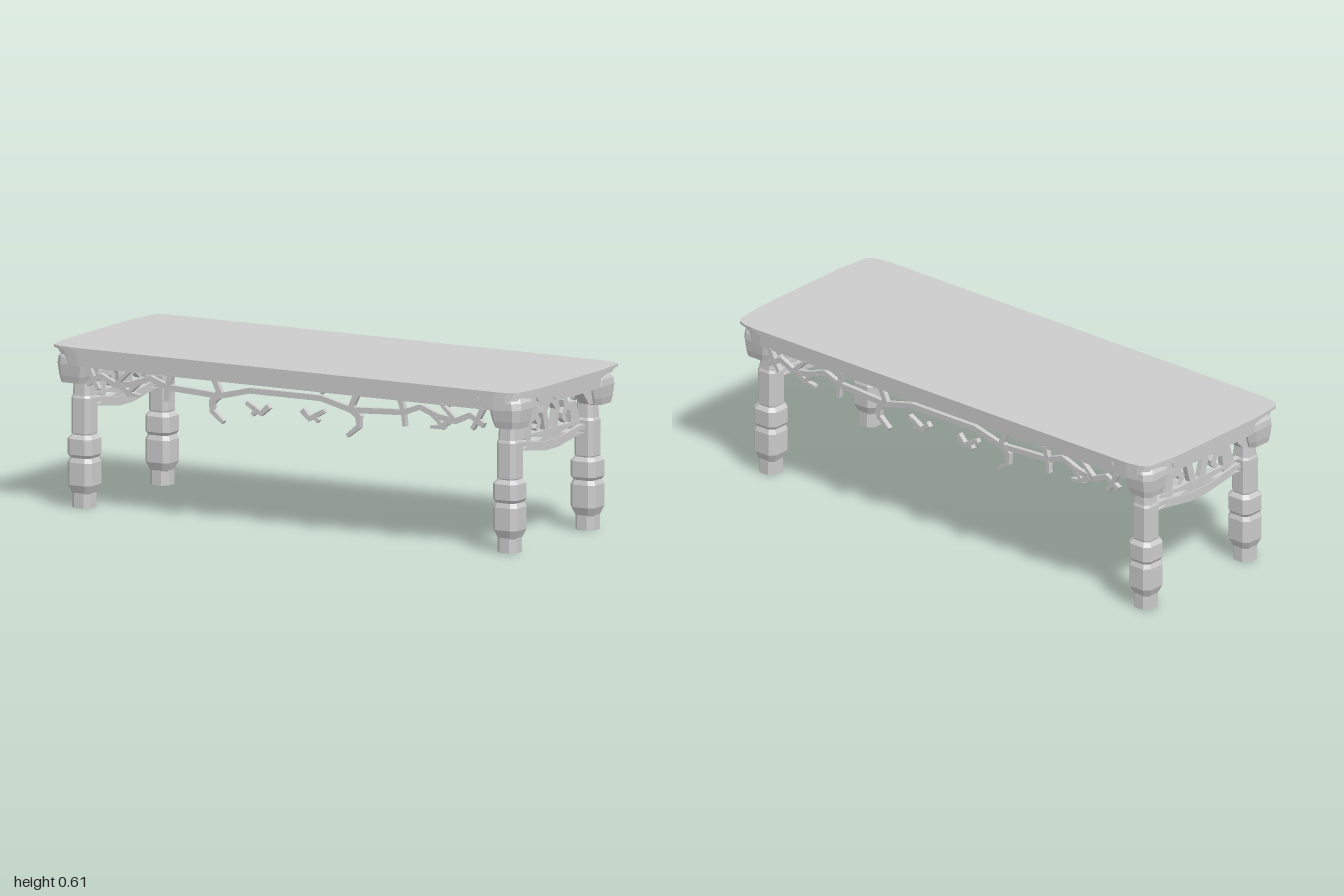
import * as THREE from 'three';

const mat = new THREE.MeshStandardMaterial({ color: 0xcccccc, flatShading: true });

function add(group, name, geometry) {
  const mesh = new THREE.Mesh(geometry, mat);
  mesh.name = name;
  group.add(mesh);
  return mesh;
}

const toShape = (pts) => new THREE.Shape(pts.map((p) => new THREE.Vector2(p[0], p[1])));
const mirrorX = (pts) => pts.map(([x, y]) => [-x, y]);

// Rounded outline of the table, moved inward by d
function outline(d) {
  const q = [[1, 0.22], [0.985, 0.35], [0.97, 0.365], [0.945, 0.375], [0.9, 0.382]]
    .map(([x, z]) => [x - d, z - d]);
  const half = [...q, ...mirrorX(q).reverse()];
  return [...half, ...half.map(([x, z]) => [-x, -z])];
}

// Horizontal slab between two heights, optionally open in the middle
function slab(shape, y0, y1) {
  const g = new THREE.ExtrudeGeometry(shape, { depth: y1 - y0, bevelEnabled: false });
  return g.rotateX(-Math.PI / 2).translate(0, y0, 0);
}

// Vertical plate centred on z = 0
function plate(shape, depth) {
  return new THREE.ExtrudeGeometry(shape, { depth, bevelEnabled: false }).translate(0, 0, -depth / 2);
}

// Loft of chamfered squares; each ring is [y, half width, chamfer, shift]
function loft(rings) {
  const pos = [], idx = [];
  for (const [y, h, c, s = 0] of rings) {
    const k = h - c;
    for (const [x, z] of [[h, k], [k, h], [-k, h], [-h, k], [-h, -k], [-k, -h], [k, -h], [h, -k]])
      pos.push(x + s, y, z + s);
  }
  const last = (rings.length - 1) * 8;
  for (let r = 0; r < last; r += 8)
    for (let i = 0; i < 8; i++) {
      const a = r + i, b = r + (i + 1) % 8;
      idx.push(a, a + 8, b, b, a + 8, b + 8);
    }
  for (let i = 1; i < 7; i++) idx.push(0, i, i + 1, last, last + i + 1, last + i);
  const g = new THREE.BufferGeometry();
  g.setAttribute('position', new THREE.Float32BufferAttribute(pos, 3));
  g.setIndex(idx);
  const flat = g.toNonIndexed();
  flat.computeVertexNormals();
  return flat;
}

// Flat twig following a path, its width running from w0 to w1
function twig(path, w0, w1, depth) {
  const left = [], right = [];
  path.forEach(([x, y], i) => {
    const a = path[Math.max(i - 1, 0)], b = path[Math.min(i + 1, path.length - 1)];
    const dx = b[0] - a[0], dy = b[1] - a[1], l = Math.hypot(dx, dy);
    const w = (w0 + (w1 - w0) * i / (path.length - 1)) / 2;
    left.push([x - dy / l * w, y + dx / l * w]);
    right.unshift([x + dy / l * w, y - dx / l * w]);
  });
  return plate(toShape([...left, ...right]), depth);
}

// Leg with stacked faceted sleeves and a heavy corner block
function leg() {
  const g = new THREE.Group();
  add(g, 'legFoot', loft([[0, 0.04, 0.02], [0.055, 0.04, 0.02]]));
  add(g, 'legLowerSleeve', loft([[0.05, 0.037, 0.016], [0.085, 0.052, 0.02], [0.168, 0.052, 0.02],
    [0.19, 0.043, 0.017]]));
  add(g, 'legUpperSleeve', loft([[0.182, 0.043, 0.017], [0.197, 0.052, 0.02], [0.255, 0.052, 0.02],
    [0.27, 0.04, 0.016]]));
  add(g, 'legShaft', loft([[0.262, 0.036, 0.015], [0.275, 0.04, 0.015], [0.405, 0.04, 0.015],
    [0.415, 0.036, 0.014], [0.48, 0.033, 0.014]]));
  add(g, 'legCapital', loft([[0.465, 0.05, 0.018, 0.018], [0.49, 0.058, 0.02, 0.016],
    [0.535, 0.067, 0.024, 0.013], [0.56, 0.066, 0.026, 0.012], [0.581, 0.058, 0.025, 0.008]]));
  return g;
}

// Fretwork between the two legs of one end
function endFretwork() {
  const g = new THREE.Group();
  const lower = [[0.24, 0.362], [0.2, 0.362], [0.05, 0.339]];
  const upper = [[0.06, 0.39], [0.135, 0.402], [0.2, 0.415], [0.24, 0.415]];
  add(g, 'endStretcher', plate(toShape([...mirrorX(lower), ...lower.reverse(), ...upper,
    ...mirrorX(upper).reverse()]), 0.026));
  const bead = [[-0.23, 0.386], [-0.19, 0.386], [-0.05, 0.365], [0.05, 0.365], [0.19, 0.386], [0.23, 0.386]];
  add(g, 'stretcherBand', twig(bead, 0.018, 0.018, 0.034));

  // Pointed loop in the middle
  const side = [[0.036, 0.385], [0.061, 0.48], [0.042, 0.535]];
  const loop = toShape([...side, ...mirrorX(side).reverse()]);
  loop.holes.push(new THREE.Path([[0, 0.512], [-0.03, 0.482], [-0.005, 0.395], [0.005, 0.395],
    [0.03, 0.482]].map((p) => new THREE.Vector2(...p))));
  add(g, 'centreLoop', plate(loop, 0.022));

  // Hooked scrolls either side
  const hook = [[0.205, 0.405], [0.175, 0.49], [0.13, 0.488], [0.105, 0.514], [0.086, 0.504],
    [0.092, 0.477], [0.073, 0.458], [0.075, 0.438], [0.098, 0.42], [0.114, 0.43], [0.1, 0.445],
    [0.112, 0.463], [0.136, 0.456], [0.143, 0.39]];
  add(g, 'scrollHook', plate(toShape(hook), 0.022));
  add(g, 'scrollHook', plate(toShape(mirrorX(hook)), 0.022));
  return g;
}

// Branching vine below one long side
function vine() {
  const g = new THREE.Group();
  const half = [[0.15, 0.51], [0.28, 0.478], [0.4, 0.485], [0.5, 0.49], [0.57, 0.516],
    [0.65, 0.487], [0.72, 0.478], [0.78, 0.506], [0.84, 0.472]];
  add(g, 'vineStem', twig([...mirrorX(half).reverse(), ...half], 0.021, 0.021, 0.018));
  const branches = [
    [[[0.28, 0.485], [0.31, 0.455], [0.31, 0.42], [0.262, 0.382]], 0.03, 0.014],
    [[[0.27, 0.47], [0.285, 0.505], [0.302, 0.54]], 0.02, 0.022],
    [[[0.485, 0.54], [0.5, 0.49], [0.505, 0.438]], 0.022, 0.014],
    [[[0.61, 0.505], [0.645, 0.475], [0.672, 0.445]], 0.018, 0.013],
    [[[0.7, 0.478], [0.655, 0.45], [0.615, 0.447]], 0.022, 0.01],
    [[[0.835, 0.535], [0.815, 0.495], [0.79, 0.455]], 0.02, 0.014],
    [[[0.72, 0.48], [0.66, 0.535]], 0.016, 0.012],
    [[[0.165, 0.465], [0.135, 0.448], [0.102, 0.43], [0.07, 0.46]], 0.015, 0.022],
    [[[0.122, 0.44], [0.14, 0.422]], 0.018, 0.014],
  ];
  for (const s of [1, -1])
    for (const [path, w0, w1] of branches) {
      const pts = path.map(([x, y]) => [x * s, y]);
      // Shape winding is corrected by the extrusion, so mirrored paths stay solid
      add(g, 'vineBranch', twig(pts, w0, w1, 0.02));
    }
  return g;
}

export function createModel() {
  const model = new THREE.Group();
  model.name = 'table';

  // Top board with a stepped edge
  add(model, 'topBoard', slab(toShape(outline(0)), 0.596, 0.605));
  add(model, 'topMoulding', slab(toShape(outline(0.008)), 0.589, 0.597));
  add(model, 'underBoard', slab(toShape(outline(0.014)), 0.578, 0.59));

  // Apron frame, open in the middle
  const apron = toShape(outline(0.02));
  apron.holes.push(new THREE.Path([[0.87, 0.31], [0.87, -0.31], [-0.87, -0.31], [-0.87, 0.31]]
    .map((p) => new THREE.Vector2(...p))));
  add(model, 'apron', slab(apron, 0.532, 0.58));

  // Raised panels on the apron
  const panel = (w) => {
    const half = [[w * 0.4, 0.54], [w * 0.48, 0.552], [w - 0.01, 0.552], [w, 0.56], [w, 0.574], [w - 0.01, 0.58]];
    return plate(toShape([...half, ...mirrorX(half).reverse()]), 0.012);
  };

  for (const s of [1, -1]) {
    // Long sides
    const side = new THREE.Group();
    side.name = s > 0 ? 'frontSide' : 'backSide';
    side.rotation.y = s > 0 ? 0 : Math.PI;
    add(side, 'longPanel', panel(0.82)).position.z = 0.362;
    const v = vine();
    v.name = 'vine';
    v.position.z = 0.353;
    side.add(v);
    model.add(side);

    // Short ends
    const end = new THREE.Group();
    end.name = s > 0 ? 'leftEnd' : 'rightEnd';
    end.rotation.y = s * Math.PI / 2;
    add(end, 'endPanel', panel(0.22)).position.z = 0.979;
    const fret = endFretwork();
    fret.name = 'endFretwork';
    fret.position.z = 0.9;
    end.add(fret);
    const bracket = [[0.155, 0.534], [0.21, 0.473], [0.25, 0.468], [0.25, 0.534]];
    for (const b of [bracket, mirrorX(bracket)])
      add(end, 'cornerBracket', plate(toShape(b), 0.04)).position.z = 0.925;
    model.add(end);

    // Legs, turned so each block leans to its own corner
    for (const t of [1, -1]) {
      const l = leg();
      l.name = (t > 0 ? 'front' : 'back') + (s > 0 ? 'Left' : 'Right') + 'Leg';
      l.position.set(0.9 * s, 0, 0.275 * t);
      l.rotation.y = Math.atan2(s, t) - Math.PI / 4;
      model.add(l);
    }
  }
  return model;
}
